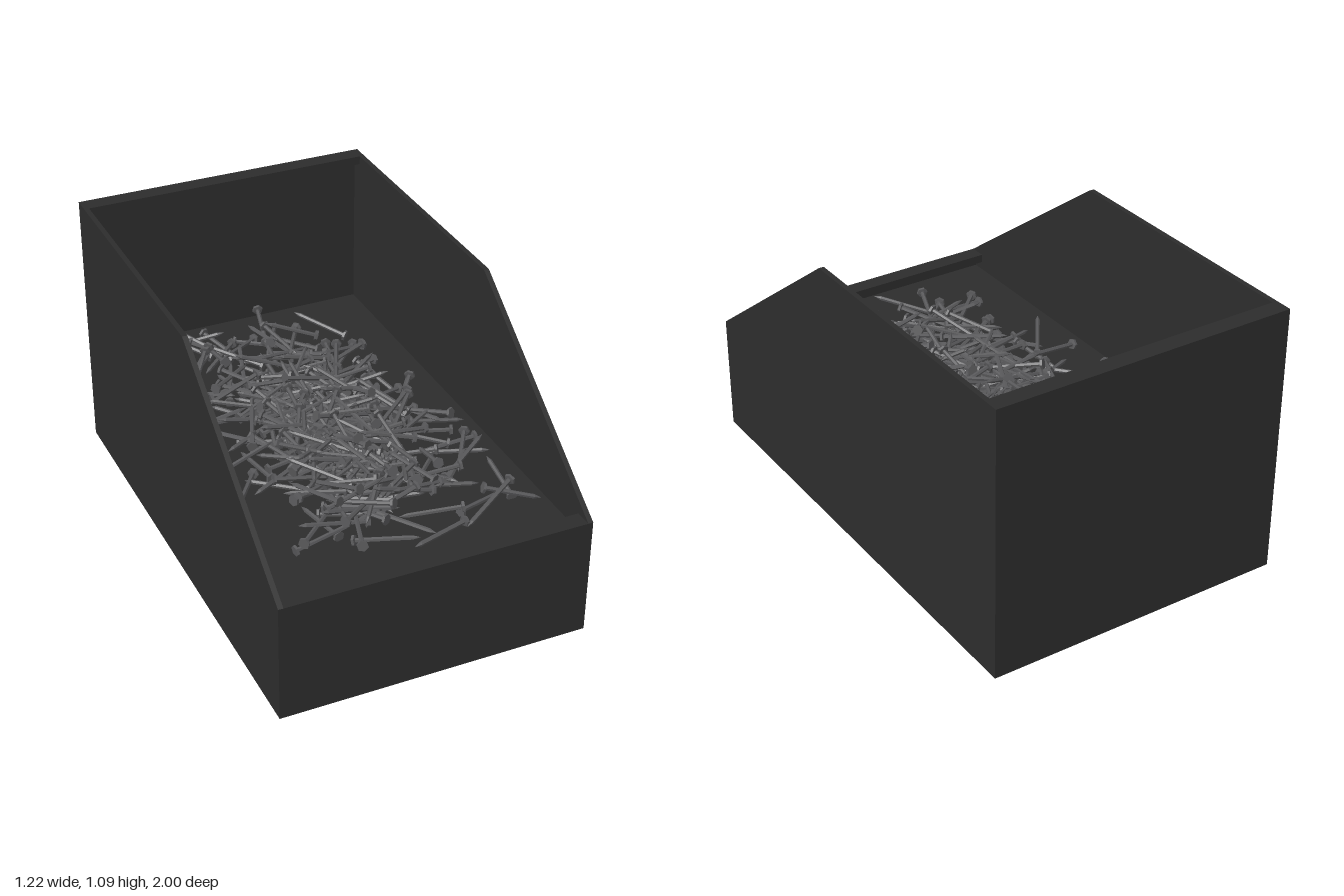
import * as THREE from 'three';
import { mergeGeometries } from 'three/addons/utils/BufferGeometryUtils.js';

const HALF_W = 0.61, WALL = 0.02, TOP = 1.09, FRONT = 0.48, FLOOR = 0.41;
const LIP_DEPTH = 0.07, LIP_H = 0.035;

// Small seeded generator so the pile is always the same
function seeded(seed) {
  return () => {
    seed = (seed * 1664525 + 1013904223) % 4294967296;
    return seed / 4294967296;
  };
}

// Six-sided nail along y, centred: pointed tip, shank and flat head
function nailGeometry(length) {
  const h = length / 2;
  const profile = [
    [0, -h], [0.009, -h + 0.03], [0.009, h - 0.012],
    [0.022, h - 0.01], [0.022, h], [0, h],
  ].map(([r, y]) => new THREE.Vector2(r, y));
  return new THREE.LatheGeometry(profile, 6);
}

function createPile(material) {
  const rand = seeded(7);
  const nails = [];
  const up = new THREE.Vector3(0, 1, 0);
  for (let i = 0; i < 330; i++) {
    const length = 0.22 + rand() * 0.07;
    const bell = (rand() + rand() + rand()) / 1.5 - 1;
    const bellZ = (rand() + rand()) - 1;
    const yaw = rand() * Math.PI * 2;
    const pitch = (rand() - 0.5) * 0.6;
    const dir = new THREE.Vector3(
      Math.cos(yaw) * Math.cos(pitch), Math.sin(pitch), Math.sin(yaw) * Math.cos(pitch));
    // Keep both ends inside the walls
    const reachX = Math.abs(dir.x) * length / 2, reachZ = Math.abs(dir.z) * length / 2;
    const x = THREE.MathUtils.clamp(0.03 + bell * 0.56, -0.56 + reachX, 0.56 + -reachX);
    const z = THREE.MathUtils.clamp(bellZ * 0.88, -0.92 + reachZ, 0.92 - reachZ);
    // The pile is highest in the middle
    const mound = Math.max(0, 1 - (x / 0.5) ** 2) * Math.max(0, 1 - (z / 0.95) ** 2);
    const lift = Math.abs(dir.y) * length / 2 + 0.014;
    const y = Math.min(FLOOR + lift + rand() * 0.08 * mound, 0.55 - lift);
    const q = new THREE.Quaternion().setFromUnitVectors(up, dir);
    const m = new THREE.Matrix4().compose(
      new THREE.Vector3(x, Math.max(y, FLOOR + lift), z), q, new THREE.Vector3(1, 1, 1));
    nails.push(nailGeometry(length).applyMatrix4(m));
  }
  const pile = new THREE.Mesh(mergeGeometries(nails), material);
  pile.name = 'nails';
  return pile;
}

export function createModel() {
  const group = new THREE.Group();
  group.name = 'nailBin';
  const plastic = new THREE.MeshStandardMaterial({ color: 0x2d2d2d });
  plastic.name = 'blackPlastic';
  const steel = new THREE.MeshStandardMaterial({ color: 0x58585a, flatShading: true });
  steel.name = 'darkSteel';

  function box(name, w, h, d, y, z) {
    const mesh = new THREE.Mesh(new THREE.BoxGeometry(w, h, d), plastic);
    mesh.position.set(0, y + h / 2, z);
    mesh.name = name;
    group.add(mesh);
  }
  const inner = 2 * (HALF_W - WALL);

  // Raised floor, end walls and their inward lips
  box('floor', inner, FLOOR, 2 - 2 * WALL, 0, 0);
  box('frontWall', inner, FRONT, WALL, 0, 1 - WALL / 2);
  box('backWall', inner, TOP, WALL, 0, -1 + WALL / 2);
  box('frontLip', inner, LIP_H, LIP_DEPTH - WALL, FRONT - LIP_H, 1 - (LIP_DEPTH + WALL) / 2);
  box('backLip', inner, LIP_H, LIP_DEPTH - WALL, TOP - LIP_H, -1 + (LIP_DEPTH + WALL) / 2);

  // Side walls with a sloping front edge
  const outline = new THREE.Shape(
    [[-1, 0], [1, 0], [1, TOP], [-0.16, TOP], [-1, FRONT]].map(([a, b]) => new THREE.Vector2(a, b)));
  const sideGeometry = new THREE.ExtrudeGeometry(outline, { depth: WALL, bevelEnabled: false });
  sideGeometry.rotateY(Math.PI / 2);
  for (const [name, x] of [['leftWall', HALF_W - WALL], ['rightWall', -HALF_W]]) {
    const wall = new THREE.Mesh(sideGeometry, plastic);
    wall.position.x = x;
    wall.name = name;
    group.add(wall);
  }

  group.add(createPile(steel));
  return group;
}
